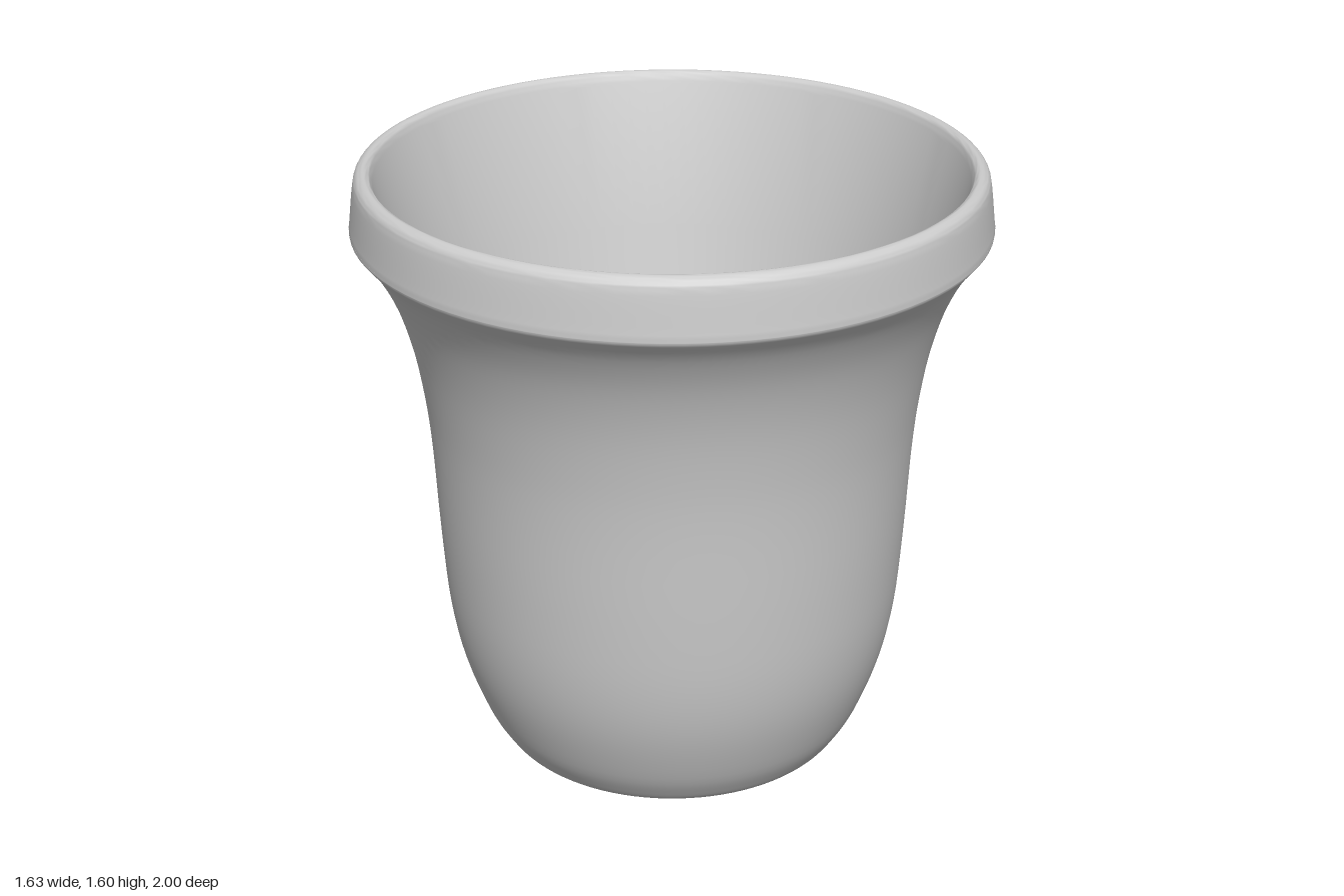
import * as THREE from 'three';
import { toCreasedNormals } from 'three/addons/utils/BufferGeometryUtils.js';

const material = new THREE.MeshStandardMaterial({ color: 0xcccccc });
const CUP_Z = 0.19; // the cup sits forward so that cup plus handle is centred

const v2 = (list) => list.map(([a, b]) => new THREE.Vector2(a, b));
const smooth = (list, n) => new THREE.SplineCurve(v2(list)).getPoints(n);
const signedPow = (v, e) => Math.sign(v) * Math.abs(v) ** e;

function addMesh(group, name, geometry) {
  const mesh = new THREE.Mesh(geometry, material);
  mesh.name = name;
  group.add(mesh);
  return mesh;
}

// Cup: one closed lathe profile, from under the base, up the outside, down the inside
function cupGeometry() {
  const underside = v2([[0, 0.012], [0.38, 0.012], [0.4, 0.01], [0.415, 0.003]]);
  const outside = smooth([
    [0.43, 0], [0.453, 0.009], [0.476, 0.037], [0.516, 0.108], [0.567, 0.25], [0.597, 0.4],
    [0.614, 0.6], [0.628, 0.85], [0.643, 1.0], [0.67, 1.15], [0.71, 1.28], [0.76, 1.38], [0.804, 1.437],
  ], 48);
  const rim = smooth([
    [0.812, 1.447], [0.813, 1.456], [0.811, 1.468], [0.8, 1.56], [0.792, 1.588],
    [0.774, 1.6], [0.758, 1.595], [0.747, 1.57],
  ], 28);
  const inside = v2([
    [0.655, 1.19], [0.563, 0.82], [0.47, 0.45], [0.386, 0.1], [0.365, 0.087], [0.34, 0.08], [0.325, 0.08], [0, 0.08],
  ]);
  const lathe = new THREE.LatheGeometry([...underside, ...outside, ...rim, ...inside], 96);
  return toCreasedNormals(lathe, 0.65);
}

// Handle: a closed band lofted between paired outer and inner rails.
// Each row is outer distance to the back, outer height, inner distance, inner height.
const HANDLE_RAILS = [
  [0.38, 0.31, 0.466, 0.56], [0.405, 0.6, 0.472, 0.7], [0.425, 0.86, 0.487, 0.87],
  [0.448, 1.08, 0.503, 0.98], [0.475, 1.125, 0.52, 1.06], [0.53, 1.205, 0.565, 1.14],
  [0.6, 1.267, 0.63, 1.205], [0.69, 1.313, 0.715, 1.24], [0.785, 1.325, 0.79, 1.245],
  [0.88, 1.295, 0.85, 1.225], [0.95, 1.23, 0.905, 1.18], [0.99, 1.15, 0.935, 1.12],
  [1.0, 1.08, 0.937, 1.06], [0.98, 0.99, 0.915, 0.975], [0.925, 0.9, 0.865, 0.91],
  [0.85, 0.815, 0.797, 0.85], [0.745, 0.705, 0.69, 0.757], [0.674, 0.615, 0.615, 0.67],
  [0.583, 0.497, 0.55, 0.585], [0.49, 0.4, 0.512, 0.548], [0.405, 0.308, 0.482, 0.54],
];

function handleGeometry() {
  const rail = (k) => new THREE.CatmullRomCurve3(
    HANDLE_RAILS.map((r) => new THREE.Vector3(0, r[k], -r[k - 1])), true);
  const outer = rail(1);
  const inner = rail(3);
  const rings = 126;
  const sides = 32;
  const positions = [];
  const index = [];
  for (let i = 0; i < rings; i++) {
    const a = outer.getPoint(i / rings);
    const b = inner.getPoint(i / rings);
    const middle = a.clone().add(b).multiplyScalar(0.5);
    const half = a.clone().sub(b).multiplyScalar(0.5);
    // Slight barrel shape: widest in the middle of the loop
    const width = 0.19 * (1 - Math.min(0.08, 2 * (middle.z + 0.79) ** 2));
    for (let j = 0; j < sides; j++) {
      // Rounded rectangular cross-section
      const t = (j / sides) * Math.PI * 2;
      const p = middle.clone().addScaledVector(half, signedPow(Math.cos(t), 0.45));
      positions.push(signedPow(Math.sin(t), 0.45) * width, p.y, p.z);

      const nextRing = ((i + 1) % rings) * sides;
      const nextSide = (j + 1) % sides;
      const p00 = i * sides + j;
      const p01 = i * sides + nextSide;
      index.push(p00, p01, nextRing + j, p01, nextRing + nextSide, nextRing + j);
    }
  }
  const geometry = new THREE.BufferGeometry();
  geometry.setAttribute('position', new THREE.Float32BufferAttribute(positions, 3));
  geometry.setIndex(index);
  geometry.computeVertexNormals();
  return geometry;
}

export function createModel() {
  const group = new THREE.Group();
  group.name = 'mug';
  addMesh(group, 'cup', cupGeometry()).position.z = CUP_Z;
  addMesh(group, 'handle', handleGeometry());
  return group;
}
